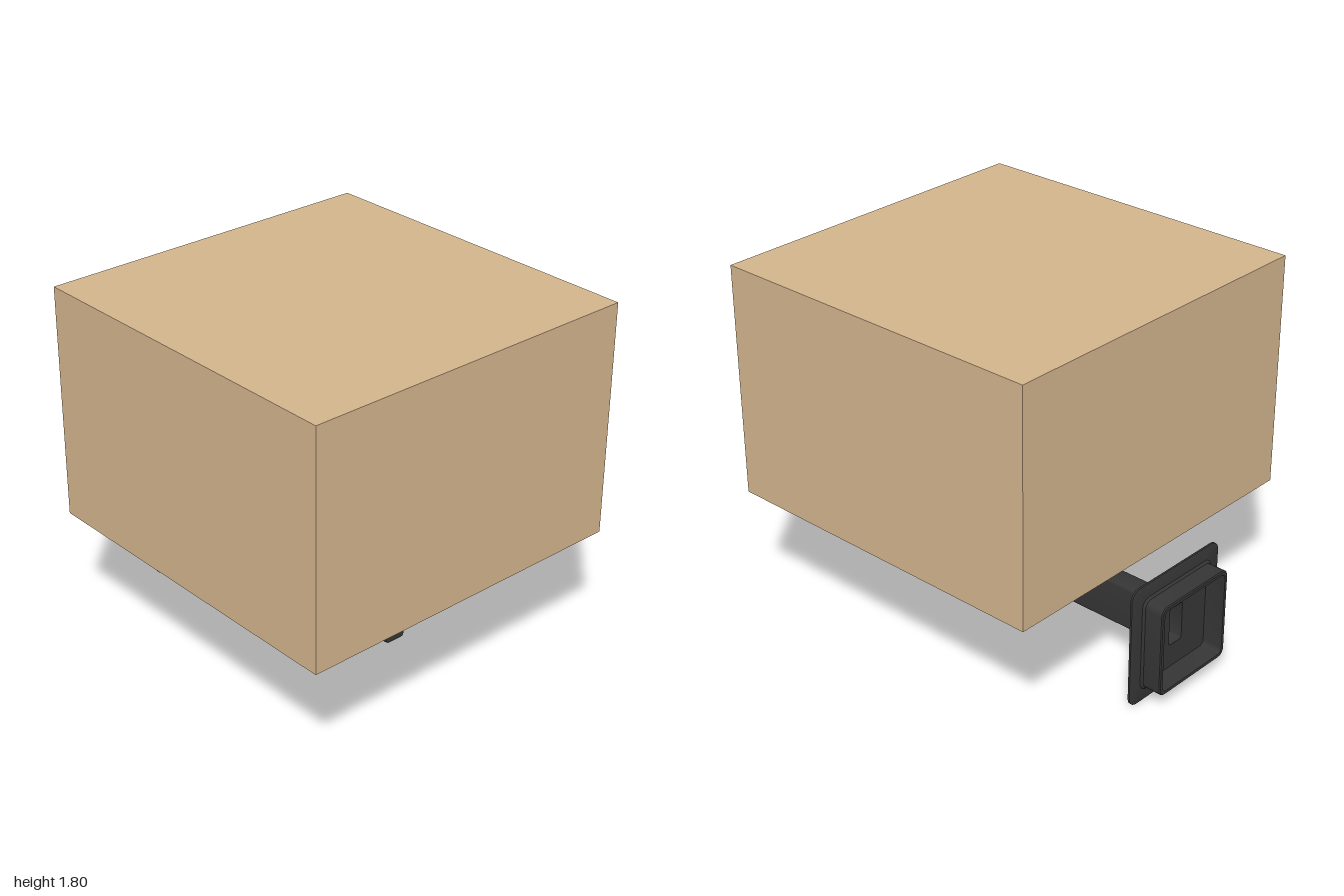
import * as THREE from 'three';
import { toCreasedNormals } from 'three/addons/utils/BufferGeometryUtils.js';

// Rounded rectangle ring, counter-clockwise seen from +z
function ring(hx, hy, r, z) {
  const pts = [], steps = 5;
  for (let c = 0; c < 4; c++) {
    const cx = (c === 0 || c === 3 ? 1 : -1) * (hx - r);
    const cy = (c < 2 ? 1 : -1) * (hy - r);
    for (let s = 0; s <= steps; s++) {
      const a = (c + s / steps) * Math.PI / 2;
      pts.push([cx + r * Math.cos(a), cy + r * Math.sin(a), z]);
    }
  }
  return pts;
}

// Skins a list of [halfWidth, halfHeight, cornerRadius, z] sections
function loft(sections, capStart, capEnd) {
  const rings = sections.map((s) => ring(...s));
  const n = rings[0].length, pos = [];
  const tri = (a, b, c) => pos.push(...a, ...b, ...c);
  for (let k = 0; k < rings.length - 1; k++) {
    const a = rings[k], b = rings[k + 1];
    for (let i = 0; i < n; i++) {
      const j = (i + 1) % n;
      tri(a[i], a[j], b[j]);
      tri(a[i], b[j], b[i]);
    }
  }
  const first = rings[0], last = rings[rings.length - 1];
  for (let i = 0; i < n; i++) {
    const j = (i + 1) % n;
    if (capStart) tri([0, 0, first[0][2]], first[j], first[i]);
    if (capEnd) tri([0, 0, last[0][2]], last[i], last[j]);
  }
  const g = new THREE.BufferGeometry();
  g.setAttribute('position', new THREE.Float32BufferAttribute(pos, 3));
  return toCreasedNormals(g, 0.6);
}

export function createModel() {
  const model = new THREE.Group();
  model.name = 'wallLamp';
  const tan = new THREE.MeshStandardMaterial({ color: 0xd2b48c });
  tan.name = 'tan shade';
  const black = new THREE.MeshStandardMaterial({ color: 0x353535 });
  black.name = 'black metal';

  const add = (name, geometry, material, x, y, z) => {
    const m = new THREE.Mesh(geometry, material);
    m.name = name;
    m.position.set(x, y, z);
    model.add(m);
  };

  // Box shade
  add('shade', new THREE.BoxGeometry(1.75, 1.16, 1.76), tan, 0, 1.22, 0.12);

  // Wall plate: hollow back box, then a thin flared flange
  const plate = loft([
    [0.045, 0.1, 0.01, -0.895],
    [0.215, 0.215, 0.025, -0.895],
    [0.215, 0.215, 0.025, -1],
    [0.23, 0.23, 0.035, -1],
    [0.235, 0.235, 0.04, -0.995],
    [0.235, 0.235, 0.04, -0.905],
    [0.245, 0.245, 0.045, -0.895],
    [0.298, 0.298, 0.05, -0.89],
    [0.307, 0.307, 0.05, -0.886],
    [0.307, 0.307, 0.05, -0.876],
    [0.3, 0.3, 0.05, -0.872],
    [0.05, 0.106, 0.012, -0.87],
  ], false, false);
  add('wallPlate', plate, black, 0, 0.308, 0);

  // Hollow arm, open into the plate and closed at the tip
  const arm = loft([
    [0.045, 0.1, 0.01, 0.54],
    [0.045, 0.1, 0.01, -0.895],
    [0.055, 0.111, 0.014, -0.893],
    [0.055, 0.111, 0.014, 0.545],
    [0.053, 0.109, 0.014, 0.559],
    [0.046, 0.102, 0.012, 0.565],
  ], true, true);
  add('arm', arm, black, 0, 0.312, 0);

  // Neck and cup that carry the shade
  const neck = new THREE.CylinderGeometry(0.062, 0.062, 0.07, 40);
  add('neck', neck, black, 0, 0.45, 0.105);
  const profile = [[0, 0], [0.188, 0], [0.194, 0.002], [0.197, 0.008], [0.197, 0.165], [0, 0.165]]
    .map(([r, y]) => new THREE.Vector2(r, y));
  const cup = toCreasedNormals(new THREE.LatheGeometry(profile, 64), 0.6);
  add('cup', cup, black, 0, 0.475, 0.105);

  return model;
}
